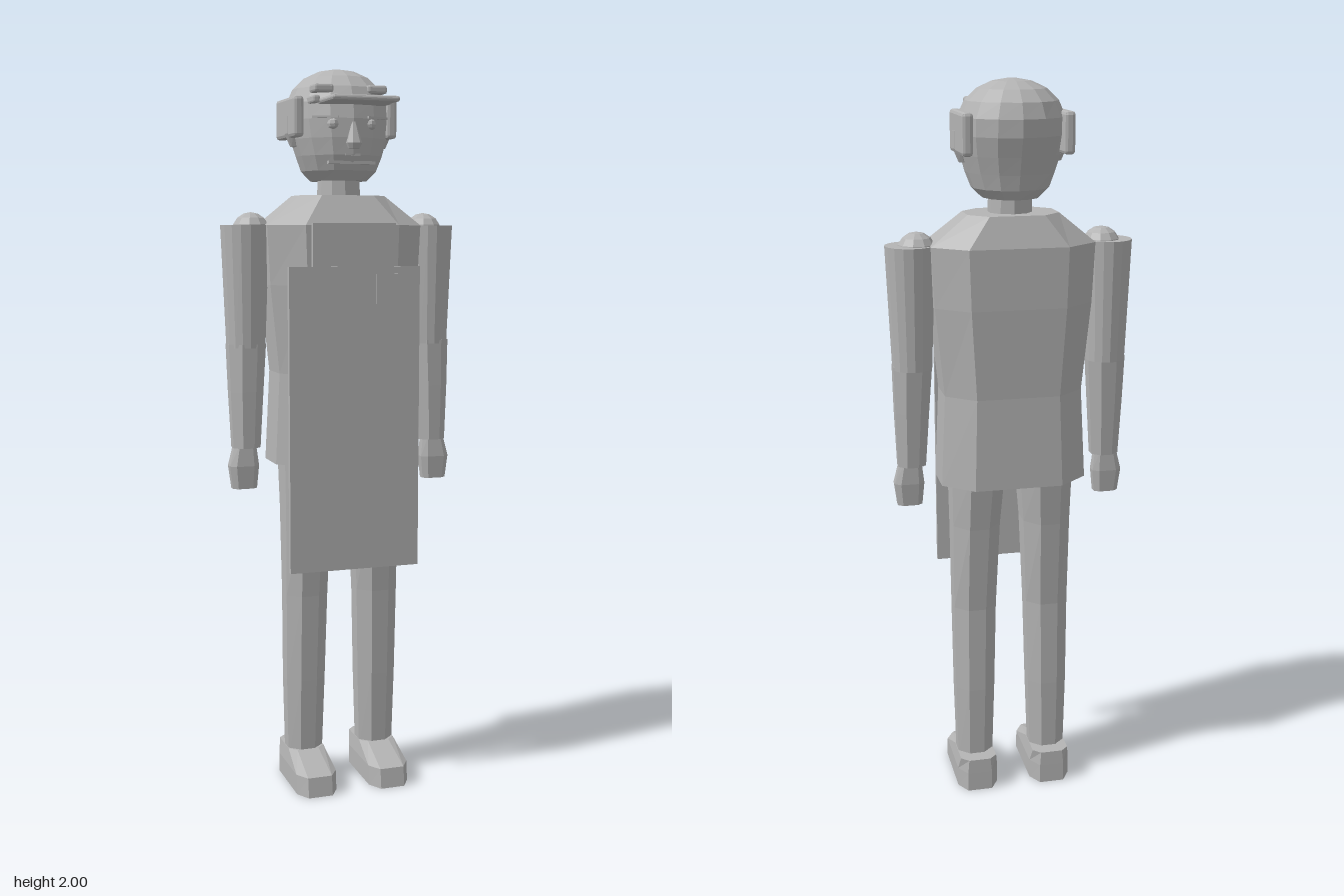
import * as THREE from 'three';
import { RoundedBoxGeometry } from 'three/addons/geometries/RoundedBoxGeometry.js';

const grey = new THREE.MeshStandardMaterial({ color: 0xb4b4b4 });
grey.name = 'plain grey';

// Unit outlines in (x, z)
const ring = (n) => Array.from({ length: n }, (_, i) => {
  const a = ((i + 0.5) / n) * Math.PI * 2, k = 1 / Math.cos(Math.PI / n);
  return [Math.cos(a) * k, Math.sin(a) * k];
});
const chamfered = (cx, cz) => [[1, cz], [cx, 1], [-cx, 1], [-1, cz], [-1, -cz], [-cx, -1], [cx, -1], [1, -cz]];

// Closed faceted loft; each section is [y, centreX, centreZ, halfX, halfZ], bottom to top
function loft(outline, sections) {
  const rows = sections.map(([y, cx, cz, hx, hz]) =>
    outline.map(([x, z]) => [cx + x * hx, y, cz + z * hz]));
  const pos = [], n = outline.length;
  const tri = (...p) => p.forEach((v) => pos.push(...v));
  const mid = (s) => [s[1], s[0], s[2]];
  const last = rows.length - 1;
  for (let i = 0; i < n; i++) {
    const j = (i + 1) % n;
    for (let r = 0; r < last; r++) {
      tri(rows[r][i], rows[r + 1][i], rows[r][j]);
      tri(rows[r][j], rows[r + 1][i], rows[r + 1][j]);
    }
    tri(mid(sections[0]), rows[0][i], rows[0][j]);
    tri(mid(sections[last]), rows[last][j], rows[last][i]);
  }
  const g = new THREE.BufferGeometry();
  g.setAttribute('position', new THREE.Float32BufferAttribute(pos, 3));
  g.computeVertexNormals();
  return g;
}

function faceted(geometry) {
  const g = geometry.toNonIndexed();
  g.computeVertexNormals();
  return g;
}

export function createModel() {
  const model = new THREE.Group();
  model.name = 'apronFigure';
  const add = (name, geometry, x = 0, y = 0, z = 0) => {
    const m = new THREE.Mesh(geometry, grey);
    m.name = name;
    m.position.set(x, y, z);
    model.add(m);
    return m;
  };
  const box = (name, w, h, d, x, y, z) => add(name, new THREE.BoxGeometry(w, h, d), x, y, z);
  const bevelled = (name, w, h, d, x, y, z, r) =>
    add(name, faceted(new RoundedBoxGeometry(w, h, d, 1, r)), x, y, z);

  // Torso with sloping shoulders
  add('torso', loft(chamfered(0.6, 0.45), [
    [0.93, 0, -0.04, 0.2, 0.125],
    [1.18, 0, -0.038, 0.188, 0.118],
    [1.42, 0, -0.04, 0.212, 0.124],
    [1.58, 0, -0.04, 0.22, 0.124],
    [1.66, 0, -0.048, 0.122, 0.088],
  ]));
  add('neck', faceted(new THREE.CylinderGeometry(0.056, 0.06, 0.1, 10)), 0, 1.69, -0.042);

  // Apron with bib and a small pocket
  box('apron', 0.37, 0.83, 0.015, 0, 1.055, 0.096);
  box('apronBib', 0.235, 0.12, 0.012, 0, 1.525, 0.092);
  box('apronPocket', 0.06, 0.08, 0.006, 0.09, 1.41, 0.105);

  // Head
  add('head', loft(ring(14), [
    [1.7, 0, -0.045, 0.075, 0.09],
    [1.725, 0, -0.043, 0.1, 0.108],
    [1.765, 0, -0.04, 0.115, 0.121],
    [1.81, 0, -0.044, 0.128, 0.131],
    [1.86, 0, -0.052, 0.136, 0.14],
    [1.905, 0, -0.057, 0.136, 0.138],
    [1.945, 0, -0.06, 0.118, 0.123],
    [1.975, 0, -0.062, 0.088, 0.092],
    [1.993, 0, -0.062, 0.05, 0.052],
    [2.0, 0, -0.062, 0.01, 0.01],
  ]));
  bevelled('capVisor', 0.185, 0.015, 0.135, 0, 1.903, 0.1255, 0.006);
  box('mouth', 0.04, 0.006, 0.012, 0, 1.765, 0.077);
  box('chinBand', 0.13, 0.008, 0.02, 0, 1.745, 0.066);
  add('nose', loft(chamfered(0.5, 0.5), [
    [1.78, 0, 0.085, 0.014, 0.018],
    [1.795, 0, 0.085, 0.02, 0.026],
    [1.85, 0, 0.083, 0.006, 0.009],
  ]));

  for (const s of [-1, 1]) {
    const side = s > 0 ? 'left' : 'right';

    // Face and headset details
    add(side + 'Eye', faceted(new THREE.SphereGeometry(0.017, 8, 6)), s * 0.052, 1.845, 0.07);
    box(side + 'Brow', 0.07, 0.006, 0.012, s * 0.072, 1.863, 0.066).rotation.y = s * 0.45;
    bevelled(side + 'VisorBracket', 0.055, 0.022, 0.05, s * 0.075, 1.938, 0.042, 0.006);
    bevelled(side + 'VisorArm', 0.02, 0.02, 0.07, s * 0.1, 1.908, 0.045, 0.005);
    bevelled(side + 'EarPad', 0.03, 0.108, 0.18, s * 0.132, 1.867, -0.065, 0.009);
    add(side + 'Ear', loft(ring(6), [
      [1.79, s * 0.125, -0.045, 0.01, 0.012],
      [1.825, s * 0.135, -0.045, 0.014, 0.022],
      [1.87, s * 0.135, -0.045, 0.014, 0.025],
    ]));

    // Arm
    add(side + 'Shoulder', faceted(new THREE.SphereGeometry(0.053, 10, 8)), s * 0.25, 1.562, -0.043);
    add(side + 'UpperArm', faceted(new THREE.CylinderGeometry(0.067, 0.054, 0.33, 16)), s * 0.267, 1.415, -0.043);
    add(side + 'Forearm', loft(ring(8), [
      [0.975, s * 0.273, -0.03, 0.038, 0.034],
      [1.13, s * 0.271, -0.035, 0.046, 0.042],
      [1.26, s * 0.268, -0.04, 0.052, 0.048],
    ]));
    add(side + 'Hand', loft(chamfered(0.6, 0.5), [
      [0.862, s * 0.28, -0.027, 0.034, 0.021],
      [0.925, s * 0.281, -0.028, 0.041, 0.026],
      [0.985, s * 0.277, -0.03, 0.03, 0.022],
    ]));

    // Leg and shoe
    add(side + 'Leg', loft(ring(8), [
      [0.07, s * 0.107, -0.045, 0.05, 0.045],
      [0.3, s * 0.106, -0.042, 0.056, 0.053],
      [0.55, s * 0.104, -0.036, 0.06, 0.058],
      [0.8, s * 0.1, -0.038, 0.066, 0.078],
      [0.96, s * 0.095, -0.043, 0.074, 0.093],
    ]));
    add(side + 'Shoe', loft(chamfered(0.6, 0.7), [
      [0, s * 0.107, -0.005, 0.058, 0.13],
      [0.055, s * 0.107, -0.008, 0.058, 0.125],
      [0.095, s * 0.107, -0.065, 0.052, 0.066],
    ]));
  }
  return model;
}
